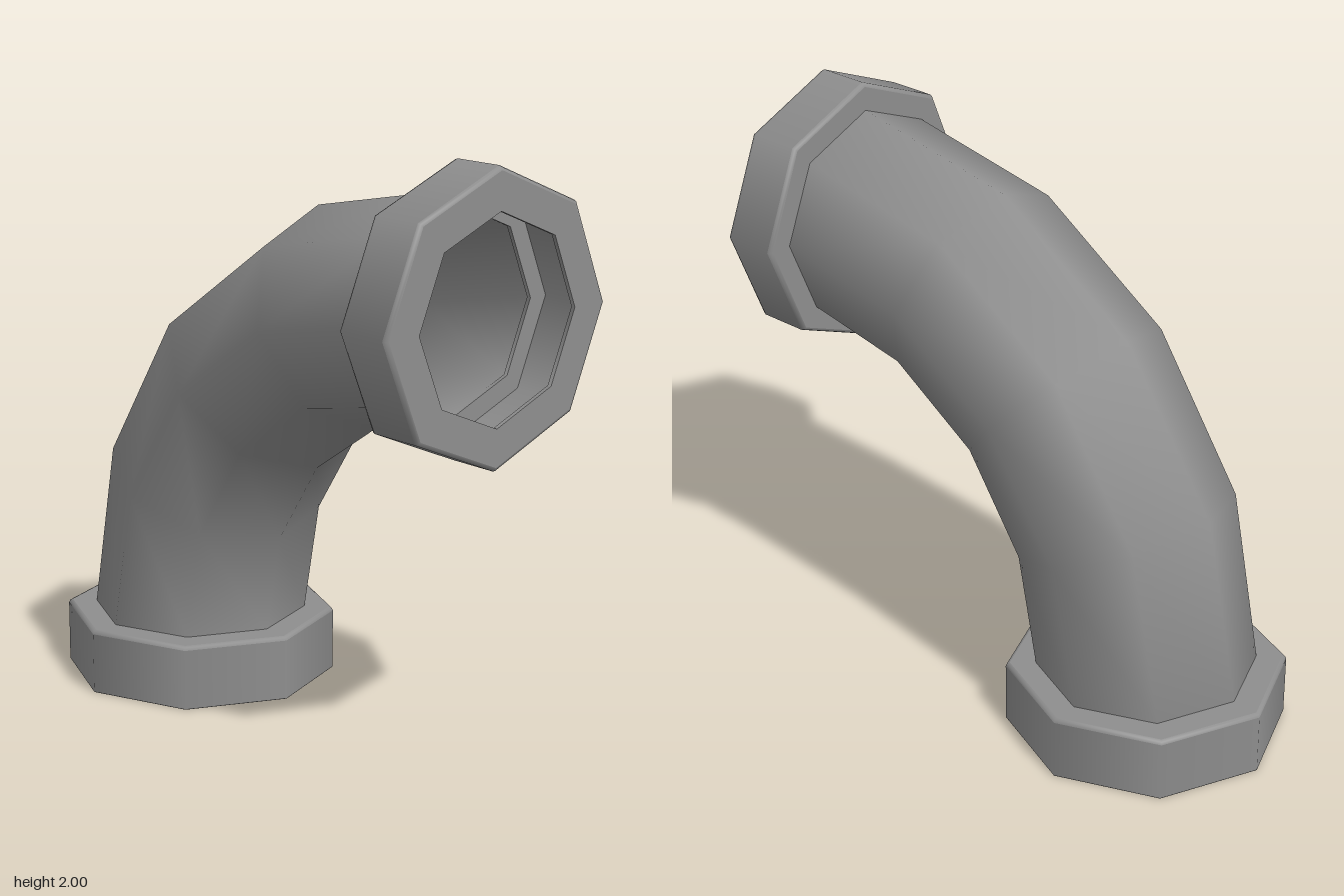
import * as THREE from 'three';

const SIDES = 8;
const GREY = 0x8e8e8e;
const BEND = { x: 0.78, y: 0.23, radius: 1.29 };

// One quarter-turn shell of the pipe, swept in four straight steps.
function pipeShell(name, radius, side) {
  const geometry = new THREE.TorusGeometry(BEND.radius, radius, SIDES, 4, Math.PI / 2);
  const mesh = new THREE.Mesh(geometry, new THREE.MeshStandardMaterial({ color: GREY, side }));
  mesh.name = name;
  mesh.rotation.z = Math.PI / 2;
  mesh.position.set(BEND.x, BEND.y, 0);
  return mesh;
}

// Hollow octagonal collar: its back plate is at y = 0, its open lip at y = depth.
// Doubled profile points keep a sharp edge there; shading stays smooth around the axis.
function collar(name, radius, depth, lipBevel) {
  const bore = 0.34, recess = 0.41, plate = 0.015, bevel = 0.014;
  const sharp = (r, y) => [[r, y], [r, y]];
  const profile = [
    ...sharp(bore, 0),
    ...sharp(radius - bevel, 0),
    [radius - bevel * 0.3, bevel * 0.3],
    ...sharp(radius, bevel),
    ...sharp(radius, depth - lipBevel),
    [radius - lipBevel * 0.3, depth - lipBevel * 0.3],
    ...sharp(radius - lipBevel, depth),
    ...sharp(bore, depth),
    ...sharp(bore, depth - plate),
    ...sharp(recess, depth - plate),
    ...sharp(recess, plate),
    ...sharp(bore, plate),
    [bore, 0],
  ].map(([r, y]) => new THREE.Vector2(r, y));
  const geometry = new THREE.LatheGeometry(profile, SIDES);
  geometry.scale(1, 1, 0.98); // slightly narrower from front to back
  const mesh = new THREE.Mesh(geometry, new THREE.MeshStandardMaterial({ color: GREY }));
  mesh.name = name;
  return mesh;
}

export function createModel() {
  const model = new THREE.Group();
  model.name = 'pipeElbow';

  // Bent pipe with a wall thickness
  model.add(pipeShell('pipeOuterWall', 0.38, THREE.FrontSide));
  model.add(pipeShell('pipeInnerWall', 0.34, THREE.BackSide));

  // Collar the pipe stands on, opening downwards
  const bottom = collar('bottomCollar', 0.488, BEND.y, 0.002);
  bottom.rotation.z = Math.PI;
  bottom.position.set(BEND.x - BEND.radius, BEND.y, 0);
  model.add(bottom);

  // Collar at the upper end, opening to the side
  const side = collar('sideCollar', 0.479, 0.21, 0.014);
  side.rotation.z = -Math.PI / 2;
  side.position.set(BEND.x, BEND.y + BEND.radius, 0);
  model.add(side);

  return model;
}
